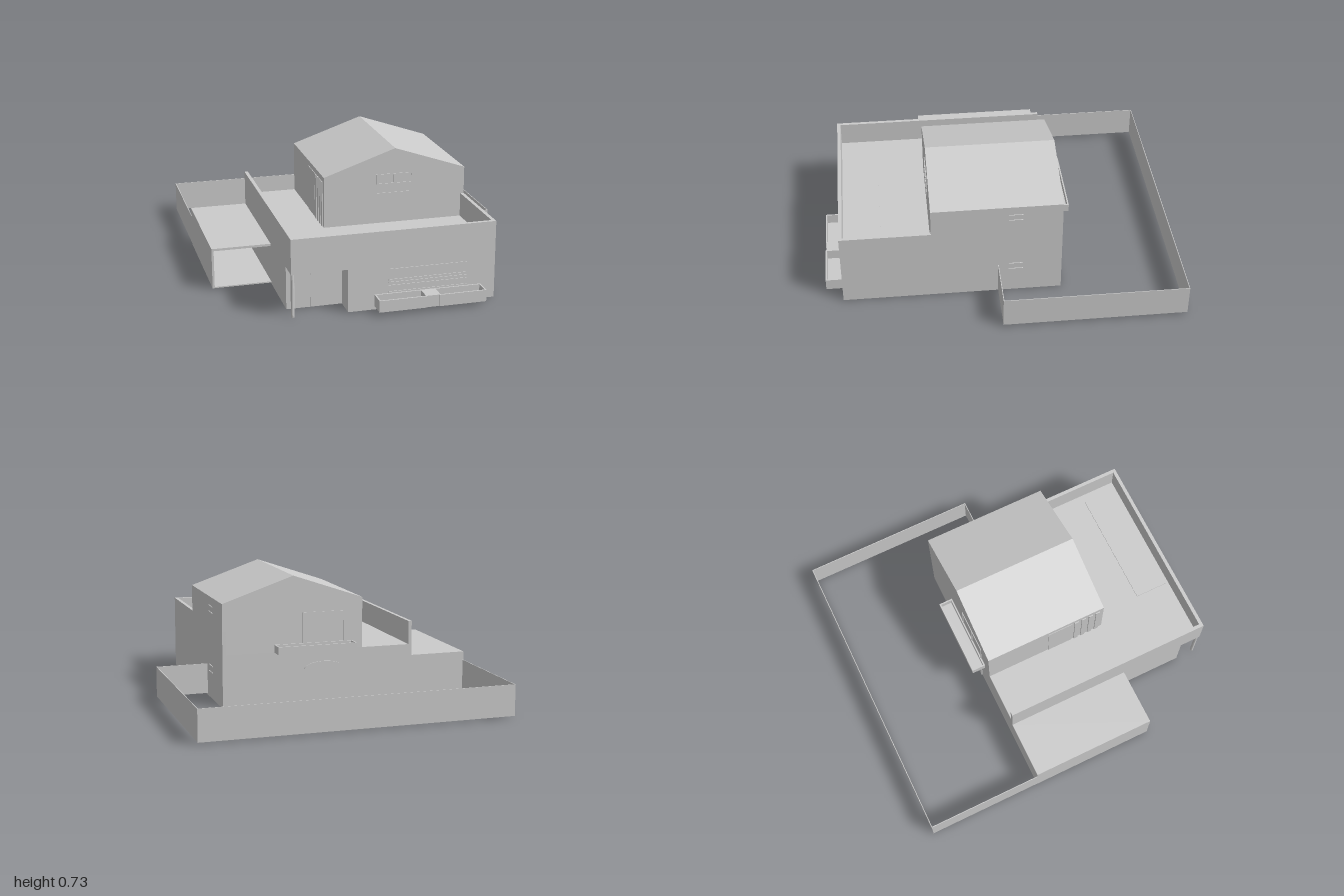
import * as THREE from 'three';

const mat = new THREE.MeshStandardMaterial({ color: 0xcccccc, flatShading: true, side: THREE.DoubleSide });

export function createModel() {
  const root = new THREE.Group();
  root.name = 'house';

  const add = (name, geo, parent = root) => {
    const m = new THREE.Mesh(geo, mat);
    m.name = name;
    parent.add(m);
    return m;
  };
  // box given by its min and max on each axis
  const box = (name, x0, x1, y0, y1, z0, z1, parent) => {
    const m = add(name, new THREE.BoxGeometry(x1 - x0, y1 - y0, z1 - z0), parent);
    m.position.set((x0 + x1) / 2, (y0 + y1) / 2, (z0 + z1) / 2);
    return m;
  };
  const group = (name) => {
    const g = new THREE.Group();
    g.name = name;
    root.add(g);
    return g;
  };

  // Main dimensions
  const L = -0.55, R = 0.575, B = -0.33, F = 0.905;
  const UL = -0.245, UF = 0.4, FLOOR = 0.3, TOP = 0.435, T = 0.02;
  const PORCH = 0.78, PORCH_H = 0.24;

  // Ground floor: open underneath, with a recessed porch at one front corner
  const ground = group('groundFloor');
  box('rightWall', R - T, R, 0, TOP, B, F, ground);
  box('leftWall', L, L + T, 0, TOP, B, PORCH, ground);
  box('leftPorchLintel', L, L + T, PORCH_H, TOP, PORCH, F, ground);
  box('backWall', L + T, R - T, 0, FLOOR, B, B + T, ground);
  box('porchBackWall', L + T, UL, 0, FLOOR - T, PORCH - T, PORCH, ground);
  box('porchSideWall', UL, UL + T, 0, FLOOR - T, PORCH - T, F - T, ground);
  box('terraceFloor', L + T, R - T, FLOOR - T, FLOOR, B + T, F - T, ground);
  box('terracePanel', -0.18, 0.505, FLOOR, FLOOR + 0.005, 0.675, 0.87, ground);

  const front = new THREE.Shape([
    [UL, 0], [R - T, 0], [R - T, TOP], [L + T, TOP], [L + T, PORCH_H], [UL, PORCH_H],
  ].map(([x, y]) => new THREE.Vector2(x, y)));
  add('frontWall', new THREE.ExtrudeGeometry(front, { depth: T, bevelEnabled: false }), ground)
    .position.z = F - T;

  const post = add('porchPost', new THREE.CylinderGeometry(0.01, 0.01, PORCH_H, 12), ground);
  post.position.set(-0.54, PORCH_H / 2, 0.89);

  // Upper floor with a gable roof
  const gable = new THREE.Shape([
    [UL, FLOOR], [R, FLOOR], [R, 0.59], [(UL + R) / 2, 0.73], [UL, 0.59],
  ].map(([x, y]) => new THREE.Vector2(x, y)));
  add('upperFloor', new THREE.ExtrudeGeometry(gable, { depth: UF - B, bevelEnabled: false }))
    .position.z = B;

  // Window frame facing front or back, with bars dividing it into panes
  const windowFrame = (name, x0, x1, y0, y1, z, rows) => {
    const g = group(name);
    const w = 0.006, d = 0.004;
    for (const x of [x0, (x0 + x1) / 2 - w / 2, x1 - w]) box('upright', x, x + w, y0, y1, z - d, z + d, g);
    for (let i = 0; i <= rows; i++) {
      const y = y0 + ((y1 - y0 - w) * i) / rows;
      box('crossbar', x0, x1, y, y + w, z - d, z + d, g);
    }
  };
  windowFrame('frontUpperWindow', 0.055, 0.265, 0.47, 0.585, UF, 2);
  windowFrame('backBalconyDoor', -0.14, 0.11, 0.33, 0.52, B, 1);

  // Front window grille
  const grille = group('frontGrille');
  for (const y of [0.09, 0.125, 0.143, 0.158, 0.217]) {
    box('grilleBar', -0.025, 0.415, y, y + 0.005, F - 0.002, F + 0.004, grille);
  }

  // Slit windows on the right wall
  const slits = group('sideWindows');
  for (const y of [0.152, 0.19, 0.5, 0.535]) {
    box('slitBar', R - 0.002, R + 0.005, y, y + 0.005, -0.11, -0.03, slits);
  }

  // Sliding terrace door with slats on the left wall of the upper floor
  const door = group('terraceDoor');
  box('doorPanel', UL - 0.003, UL, FLOOR, 0.56, 0.05, 0.2, door);
  for (let i = 0; i < 4; i++) {
    const z = 0.215 + i * 0.045;
    box('doorSlat', UL - 0.006, UL, FLOOR, 0.56, z, z + 0.025, door);
  }

  // Arched doors at the back and in the porch
  const archDoor = (name, x0, x1, h, z) => {
    const r = (x1 - x0) / 2, rise = 0.04;
    const s = new THREE.Shape();
    s.moveTo(x0, 0.005);
    s.lineTo(x1, 0.005);
    s.lineTo(x1, h - rise);
    s.absellipse((x0 + x1) / 2, h - rise, r, rise, 0, Math.PI, false);
    s.closePath();
    add(name, new THREE.ExtrudeGeometry(s, { depth: 0.008, bevelEnabled: false, curveSegments: 10 }))
      .position.z = z - 0.004;
  };
  archDoor('backDoor', -0.13, 0.1, 0.235, B - 0.002);
  archDoor('porchDoor', -0.42, -0.28, 0.22, PORCH);

  // Open tray made of a floor and four rims
  const tray = (name, x0, x1, y0, y1, z0, z1) => {
    const g = group(name), t = 0.008;
    box('trayFloor', x0, x1, y0, y0 + t, z0, z1, g);
    box('rim', x0, x0 + t, y0 + t, y1, z0, z1, g);
    box('rim', x1 - t, x1, y0 + t, y1, z0, z1, g);
    box('rim', x0 + t, x1 - t, y0 + t, y1, z0, z0 + t, g);
    box('rim', x0 + t, x1 - t, y0 + t, y1, z1 - t, z1, g);
  };
  tray('frontPlanterRight', 0.23, 0.495, 0.02, 0.085, F, 1);
  tray('frontPlanterLeft', -0.1, 0.165, 0.02, 0.085, F, 1);
  box('planterLink', 0.165, 0.23, 0.02, 0.085, F, 0.995);
  tray('backBalcony', -0.185, 0.275, 0.3, 0.345, -0.41, B);

  // Carport: open at the front
  const C = -0.88, CF = 0.4, CT = 0.012;
  const carport = group('carport');
  box('carportRoof', C, L, 0.222, 0.235, B, CF, carport);
  box('carportFloor', C, L, 0.005, 0.012, B, CF, carport);
  box('carportWall', C, C + CT, 0.012, 0.222, B, CF, carport);
  box('carportBack', C + CT, L, 0.012, 0.222, B, B + CT, carport);

  // Garden wall
  const fence = group('gardenWall');
  const E = 0.875, f = 0.004;
  box('fenceBack', C, E, 0.01, 0.185, -1, -1 + f, fence);
  box('fenceLeft', C, C + f, 0.01, 0.185, -1 + f, B, fence);
  box('fenceRight', E - f, E, 0.01, 0.185, -1 + f, 0.03, fence);
  box('fenceFront', R, E - f, 0.01, 0.185, 0.03 - f, 0.03, fence);

  return root;
}
